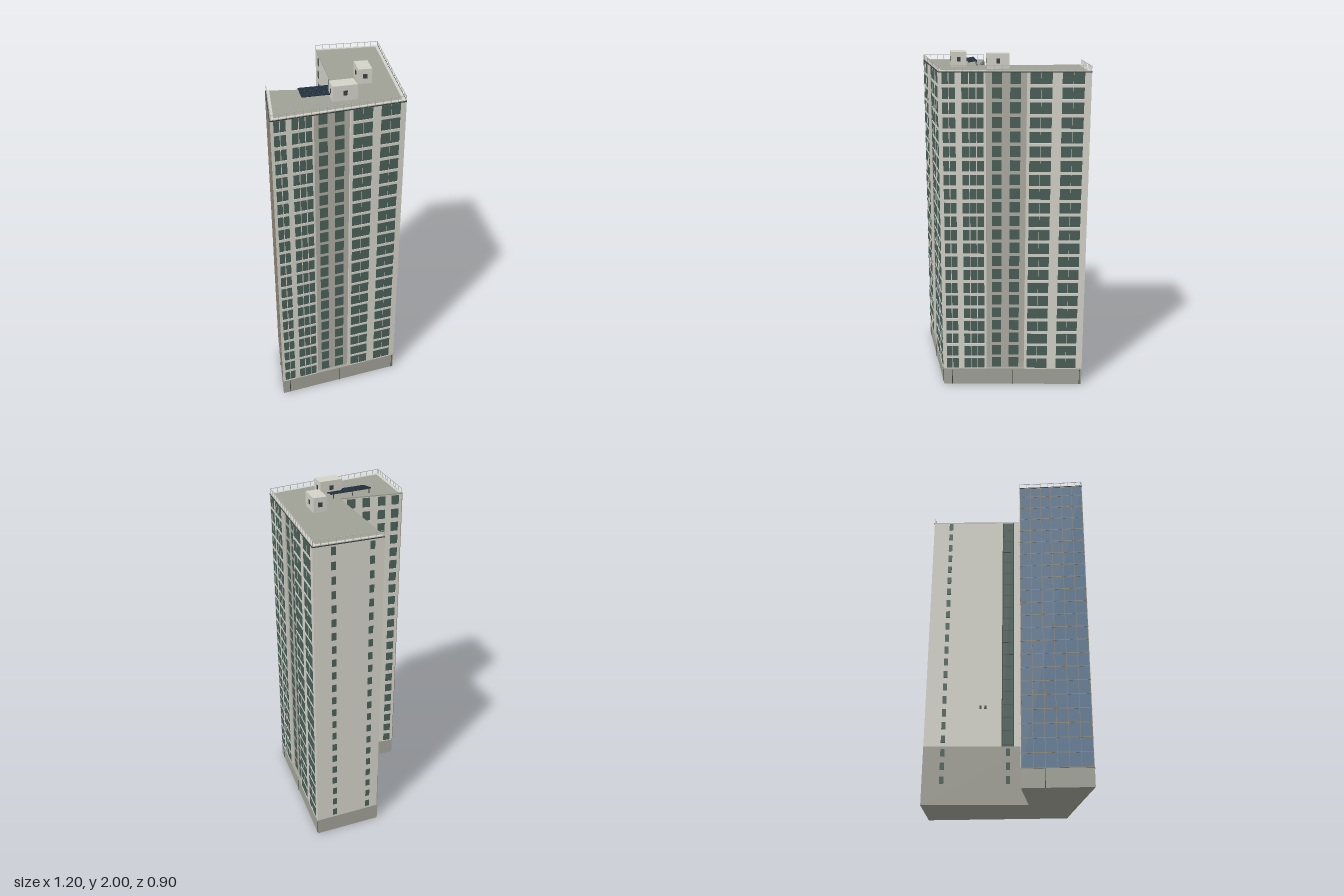
import * as THREE from 'three';
import { mergeGeometries } from 'three/addons/utils/BufferGeometryUtils.js';

const mat = (name, color) => new THREE.MeshStandardMaterial({ name, color });

export function createModel() {
  const M = {
    wall: mat('pale wall', 0xd2d2c9),
    recess: mat('recess wall', 0xadaca2),
    base: mat('concrete base', 0xa0a197),
    roof: mat('roof grey', 0x9fa197),
    glass: mat('green glass', 0x4a5f58),
    blue: mat('blue glass', 0x5d7691),
    bronze: mat('bronze frame', 0x8a8474),
    dark: mat('dark trim', 0x3c403e),
    solar: mat('solar cells', 0x22303f),
    rail: mat('railing metal', 0xb4b5af),
  };
  const BASE = 0.105, TOP = 1.915, FLOORS = 22, PITCH = 0.0826;
  const root = new THREE.Group();
  root.name = 'apartmentTower';

  // Footprint corners as [x, z], walked with the outside on the facade's local +z
  const A = [-0.597, 0.115], B = [0.08, 0.447], C = [0.597, -0.225];
  const D = [0.275, -0.452], E = [-0.075, 0.055], F = [-0.358, -0.193];

  // Boxes are gathered per part and merged into one mesh
  function builder(parent) {
    const parts = new Map();
    return {
      box(name, m, x0, x1, y0, y1, z0, z1) {
        const g = new THREE.BoxGeometry(x1 - x0, y1 - y0, z1 - z0);
        g.translate((x0 + x1) / 2, (y0 + y1) / 2, (z0 + z1) / 2);
        if (!parts.has(name)) parts.set(name, { m, list: [] });
        parts.get(name).list.push(g);
      },
      finish() {
        for (const [name, { m, list }] of parts) {
          const mesh = new THREE.Mesh(mergeGeometries(list), m);
          mesh.name = name;
          parent.add(mesh);
        }
      },
    };
  }

  // Facade group: local x runs along the wall, z points outward
  function facade(name, P, Q, fill) {
    const g = new THREE.Group();
    g.name = name;
    g.position.set(P[0], 0, P[1]);
    g.rotation.y = -Math.atan2(Q[1] - P[1], Q[0] - P[0]);
    const b = builder(g);
    fill(b, Math.hypot(Q[0] - P[0], Q[1] - P[1]));
    b.finish();
    root.add(g);
  }

  function prism(name, m, pts, y0, y1) {
    const shape = new THREE.Shape(pts.map(([x, z]) => new THREE.Vector2(x, -z)));
    const geo = new THREE.ExtrudeGeometry(shape, { depth: y1 - y0, bevelEnabled: false });
    geo.rotateX(-Math.PI / 2).translate(0, y0, 0);
    const mesh = new THREE.Mesh(geo, m);
    mesh.name = name;
    root.add(mesh);
  }

  // Main volumes, with a shallow notch in each of the two street fronts
  const R0 = 0.31, R1 = 0.58, DEPTH = 0.018;
  function notch(P, Q) {
    const dx = Q[0] - P[0], dz = Q[1] - P[1], L = Math.hypot(dx, dz);
    const at = (t, d) => [P[0] + dx * t + (dz / L) * d, P[1] + dz * t - (dx / L) * d];
    return [P, at(R0, 0), at(R0, DEPTH), at(R1, DEPTH), at(R1, 0)];
  }
  const outline = [A, B, C, D, E, F];
  prism('base', M.base, outline, 0, BASE);
  prism('towerWalls', M.wall, [...notch(A, B), ...notch(B, C), C, D, E, F], BASE, TOP - 0.006);
  prism('roofSlab', M.roof, outline, TOP - 0.006, TOP);

  const eachFloor = (fn) => {
    for (let i = 0; i < FLOORS; i++) fn(0.111 + i * PITCH);
  };

  // Street fronts: six window columns [start, end, panes, recessed]
  const columns = [
    [0.023, 0.108, 2, 0], [0.15, 0.295, 3, 0], [0.35, 0.415, 1, 1],
    [0.47, 0.54, 1, 1], [0.6, 0.745, 2, 0], [0.81, 0.955, 2, 0],
  ];
  function streetFront(b, L) {
    b.box('recessPanel', M.recess, R0 * L, R1 * L, BASE, TOP - 0.007, -DEPTH - 0.002, -DEPTH + 0.002);
    eachFloor((y) => {
      for (const [t0, t1, panes, rec] of columns) {
        const x0 = t0 * L, x1 = t1 * L, z = rec ? -DEPTH + 0.002 : 0;
        b.box('windows', M.glass, x0, x1, y, y + 0.063, z - 0.002, z + 0.002);
        for (let p = 1; p < panes; p++) {
          const x = x0 + ((x1 - x0) * p) / panes, w = t0 < 0.3 ? 0.002 : 0.0008;
          b.box('mullions', M.wall, x - w, x + w, y, y + 0.063, z, z + 0.003);
        }
        if (!rec) b.box('sills', M.wall, x0 - 0.002, x1 + 0.002, y - 0.006, y, -0.002, 0.005);
      }
    });
    for (const t of [0.06, 0.5, 0.985]) {
      b.box('baseJoints', M.dark, t * L - 0.002, t * L + 0.002, 0, BASE, -0.001, 0.002);
    }
    b.box('baseLedge', M.base, 0, L, BASE - 0.006, BASE, 0, 0.004);
  }
  facade('leftStreetFront', A, B, streetFront);
  facade('rightStreetFront', B, C, streetFront);

  // End wall with two columns of small windows
  facade('endWall', C, D, (b, L) => {
    eachFloor((y) => {
      for (const t of [0.285, 0.83]) {
        b.box('smallWindows', M.glass, t * L - 0.013, t * L + 0.013, y + 0.01, y + 0.055, -0.002, 0.002);
      }
    });
  });

  // Rear wall: tall plinth, window column, glazed stair strip and vents
  facade('rearWall', D, E, (b, L) => {
    const plinth = 0.345;
    b.box('plinth', M.base, 0, L, 0, plinth, -0.002, 0.003);
    eachFloor((y) => {
      b.box('smallWindows', M.glass, 0.165 * L, 0.205 * L, y + 0.01, y + 0.055, -0.002, 0.005);
      if (y < plinth - 0.06) {
        b.box('smallWindows', M.glass, 0.79 * L, 0.825 * L, y + 0.01, y + 0.055, -0.002, 0.005);
      }
      if (y > plinth) b.box('stairTransoms', M.dark, 0.75 * L, 0.86 * L, y - 0.003, y, 0, 0.004);
    });
    b.box('stairGlazing', M.glass, 0.75 * L, 0.86 * L, plinth, TOP - 0.01, -0.002, 0.003);
    for (const t of [0.75, 0.86]) {
      b.box('stairFrame', M.dark, t * L - 0.003, t * L + 0.003, plinth, TOP - 0.01, -0.002, 0.005);
    }
    for (const t of [0.54, 0.585]) {
      b.box('vents', M.dark, t * L - 0.006, t * L + 0.006, 0.58, 0.6, -0.002, 0.003);
    }
  });

  // Inner courtyard wall with four window columns
  facade('courtWall', E, F, (b, L) => {
    eachFloor((y) => {
      for (const [t0, t1] of [[0.11, 0.24], [0.36, 0.48], [0.61, 0.73], [0.83, 0.95]]) {
        b.box('windows', M.glass, t0 * L, t1 * L, y + 0.003, y + 0.058, -0.002, 0.002);
        b.box('sills', M.wall, t0 * L, t1 * L, y - 0.003, y + 0.003, -0.002, 0.004);
      }
    });
  });

  // Blue curtain wall with bronze grid
  facade('curtainWall', F, A, (b, L) => {
    b.box('curtainGlass', M.blue, 0.004, L - 0.004, BASE, TOP - 0.008, -0.002, 0.002);
    eachFloor((y) => b.box('curtainTransoms', M.bronze, 0, L, y - 0.006, y - 0.001, 0, 0.0035));
    for (let i = 0; i <= 6; i++) {
      const x = 0.003 + ((L - 0.006) * i) / 6;
      b.box('curtainMullions', M.bronze, x - 0.0015, x + 0.0015, BASE, TOP - 0.008, 0, 0.004);
    }
    b.box('baseJoints', M.dark, 0.33 * L - 0.002, 0.33 * L + 0.002, 0, BASE, -0.001, 0.002);
  });

  // Roof edge: pale kerb, dark cornice line and railing
  for (const [P, Q] of [[A, B], [B, C], [C, D], [F, A]]) {
    facade('roofEdge', P, Q, (b, L) => {
      b.box('kerb', M.wall, 0.008, L - 0.008, TOP - 0.002, TOP + 0.004, -0.02, -0.003);
      b.box('cornice', M.dark, 0, L, TOP - 0.005, TOP, -0.002, 0.002);
      b.box('topRail', M.rail, 0, L, TOP + 0.028, TOP + 0.0305, -0.005, -0.0025);
      const n = Math.round(L / 0.045);
      for (let i = 0; i <= n; i++) {
        const x = 0.002 + ((L - 0.004) * i) / n;
        b.box('railPosts', M.rail, x - 0.0013, x + 0.0013, TOP, TOP + 0.03, -0.005, -0.0025);
      }
    });
  }

  // Rooftop plant rooms, each with small openings
  function plantRoom(name, x, z, w, d, angle) {
    const g = new THREE.Group();
    g.name = name;
    g.position.set(x, TOP, z);
    g.rotation.y = -angle;
    const b = builder(g);
    b.box('room', M.wall, -w / 2, w / 2, 0, 0.085, -d / 2, d / 2);
    for (const s of [-1, 1]) {
      b.box('openings', M.dark, -0.012, 0.012, 0.03, 0.056, (s * d) / 2 - 0.002, (s * d) / 2 + 0.002);
      b.box('openings', M.dark, (s * w) / 2 - 0.002, (s * w) / 2 + 0.002, 0.03, 0.056, -0.01, 0.01);
    }
    b.finish();
    root.add(g);
  }
  plantRoom('plantRoomLeft', -0.123, 0.172, 0.138, 0.088, 0.53);
  plantRoom('plantRoomRight', 0.135, 0.075, 0.079, 0.13, 0.61);

  // Tilted solar array: one long row and one shorter row
  const array = new THREE.Group();
  array.name = 'solarArray';
  array.position.set(-0.285, TOP + 0.022, 0.002);
  array.rotation.set(0.14, -0.54, 0, 'YXZ');
  const s = builder(array);
  const cell = 0.0327, deep = 0.0243;
  for (let r = 0; r < 4; r++) {
    for (let c = 0; c < (r < 2 ? 8 : 5); c++) {
      const x = c * cell, z = (r - 2) * deep;
      s.box('solarPanels', M.solar, x + 0.001, x + cell - 0.001, 0, 0.004, z + 0.001, z + deep - 0.001);
    }
  }
  for (const z of [-0.048, -0.002]) s.box('solarRails', M.dark, 0, 8 * cell, -0.004, 0.001, z, z + 0.004);
  for (const x of [0.01, 0.12, 0.24]) s.box('solarLegs', M.dark, x, x + 0.004, -0.028, 0, -0.047, -0.043);
  s.finish();
  root.add(array);

  return root;
}
